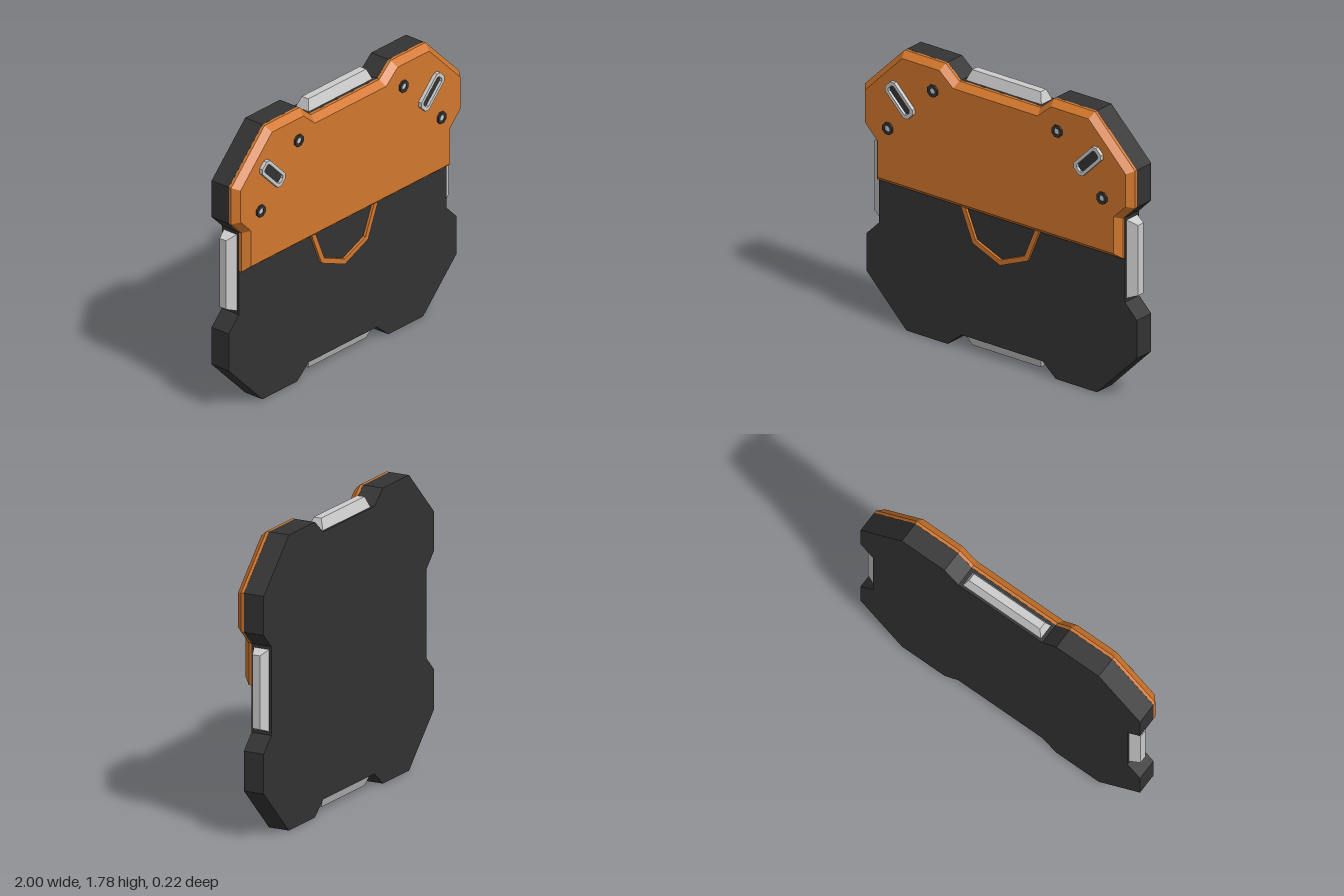
import * as THREE from 'three';

const material = (color) => new THREE.MeshStandardMaterial({ color, flatShading: true });

// Completes a right-hand half outline (counter-clockwise, bottom to top) with its mirror image
const mirrored = (half) => [...half, ...half.map(([x, y]) => [-x, y]).reverse()];

// Moves every edge of a counter-clockwise polygon inward by d
function inset(pts, d) {
  const n = pts.length;
  return pts.map((p, i) => {
    const normal = (a, b) => {
      const l = Math.hypot(b[0] - a[0], b[1] - a[1]);
      return [(a[1] - b[1]) / l, (b[0] - a[0]) / l];
    };
    const u = normal(pts[(i + n - 1) % n], p), v = normal(p, pts[(i + 1) % n]);
    const k = d / (1 + u[0] * v[0] + u[1] * v[1]);
    return [p[0] + (u[0] + v[0]) * k, p[1] + (u[1] + v[1]) * k];
  });
}

// Stacks insets of an outline at [z, inset] levels and caps both ends
function bevelled(outline, levels) {
  const rings = levels.map(([z, d]) => inset(outline, d).map(([x, y]) => [x, y, z]));
  const n = outline.length, pos = [];
  for (let k = 0; k < rings.length - 1; k++) {
    for (let i = 0; i < n; i++) {
      const j = (i + 1) % n, a = rings[k], b = rings[k + 1];
      pos.push(...a[i], ...a[j], ...b[j], ...a[i], ...b[j], ...b[i]);
    }
  }
  const faces = THREE.ShapeUtils.triangulateShape(outline.map((p) => new THREE.Vector2(...p)), []);
  const top = rings[rings.length - 1], bottom = rings[0];
  for (const [a, b, c] of faces) {
    pos.push(...top[a], ...top[b], ...top[c], ...bottom[c], ...bottom[b], ...bottom[a]);
  }
  const g = new THREE.BufferGeometry();
  g.setAttribute('position', new THREE.Float32BufferAttribute(pos, 3));
  g.computeVertexNormals();
  return g;
}

// Flat extrusion with an optional hole
function extruded(outline, depth, hole) {
  const shape = new THREE.Shape(outline.map((p) => new THREE.Vector2(...p)));
  if (hole) shape.holes.push(new THREE.Path(hole.map((p) => new THREE.Vector2(...p))));
  return new THREE.ExtrudeGeometry(shape, { depth, bevelEnabled: false });
}

const chamferedRect = (w, h, c) => mirrored([
  [w / 2 - c, -h / 2], [w / 2, -h / 2 + c], [w / 2, h / 2 - c], [w / 2 - c, h / 2],
]);

const octagon = (r) => Array.from({ length: 8 }, (_, i) => {
  const a = (i + 0.5) * Math.PI / 4;
  return [r * Math.cos(a), r * Math.sin(a)];
});

export function createModel() {
  const model = new THREE.Group();
  const dark = material(0x333333), orange = material(0xd2772d), grey = material(0xcccccc);

  function add(name, geometry, mat, parent = model) {
    const mesh = new THREE.Mesh(geometry, mat);
    mesh.name = name;
    parent.add(mesh);
    return mesh;
  }

  // Notched body slab
  const upper = [[0.91, 1.16], [1, 1.25], [1, 1.485], [0.705, 1.78], [0.4, 1.78], [0.3, 1.695]];
  const lower = [[0.3, 0.085], [0.4, 0], [0.705, 0], [1, 0.295], [1, 0.535], [0.91, 0.625]];
  add('body', bevelled(mirrored([...lower, ...upper]), [[-0.107, 0], [0.025, 0]]), dark);

  // Raised front plate with bevelled rim
  add('frontPlate', bevelled(mirrored([[0.91, 0.907], ...upper]),
    [[0.0255, 0], [0.043, 0], [0.085, 0.036]]), orange);

  // Half-octagon pull loop emerging from under the plate
  const arc = (r) => [0, 1, 2, 3, 4].map((i) => {
    const a = Math.PI + i * Math.PI / 4;
    return [r * Math.cos(a), 0.9 + r * Math.sin(a)];
  });
  const loopOutline = [[-0.277, 0.925], ...arc(0.288), [0.277, 0.925], [0.243, 0.925],
    ...arc(0.254).reverse(), [-0.243, 0.925]];
  add('pullLoop', extruded(loopOutline, 0.017), orange).position.z = 0.025;

  // Tapered pads seated in the four edge notches: x, y, turn, half length
  const pads = [
    ['topPad', 0, 1.68, 0, 0.285],
    ['bottomPad', 0, 0.1, Math.PI, 0.285],
    ['leftPad', 0.895, 0.893, -Math.PI / 2, 0.253],
    ['rightPad', -0.895, 0.893, Math.PI / 2, 0.253],
  ];
  for (const [name, x, y, turn, half] of pads) {
    const g = bevelled(mirrored([[half, -0.056], [half, 0.056]]), [[0, 0], [0.08, 0.031]]);
    g.rotateX(-Math.PI / 2);
    const pad = add(name, g, grey);
    pad.position.set(x, y, -0.042);
    pad.rotation.z = turn;
  }

  for (const side of [1, -1]) {
    const label = side > 0 ? 'left' : 'right';

    // Diagonal slot frame with a dark insert
    const slot = new THREE.Group();
    slot.name = label + 'Slot';
    slot.position.set(side * 0.697, 1.484, 0.084);
    slot.rotation.z = side * Math.PI / 4;
    add('slotFrame', extruded(chamferedRect(0.235, 0.095, 0.022), 0.024,
      chamferedRect(0.19, 0.055, 0.012)), grey, slot);
    add('slotInsert', extruded(chamferedRect(0.192, 0.057, 0.012), 0.006), dark, slot);
    model.add(slot);

    // Screws: dark octagonal collar around a grey core
    for (const [x, y] of [[0.46, 1.605], [0.793, 1.275]]) {
      const screw = new THREE.Group();
      screw.name = label + 'Screw';
      screw.position.set(side * x, y, 0.084);
      add('screwCollar', extruded(octagon(0.039), 0.013, octagon(0.019)), dark, screw);
      add('screwCore', extruded(octagon(0.0195), 0.008), grey, screw);
      model.add(screw);
    }
  }
  return model;
}
